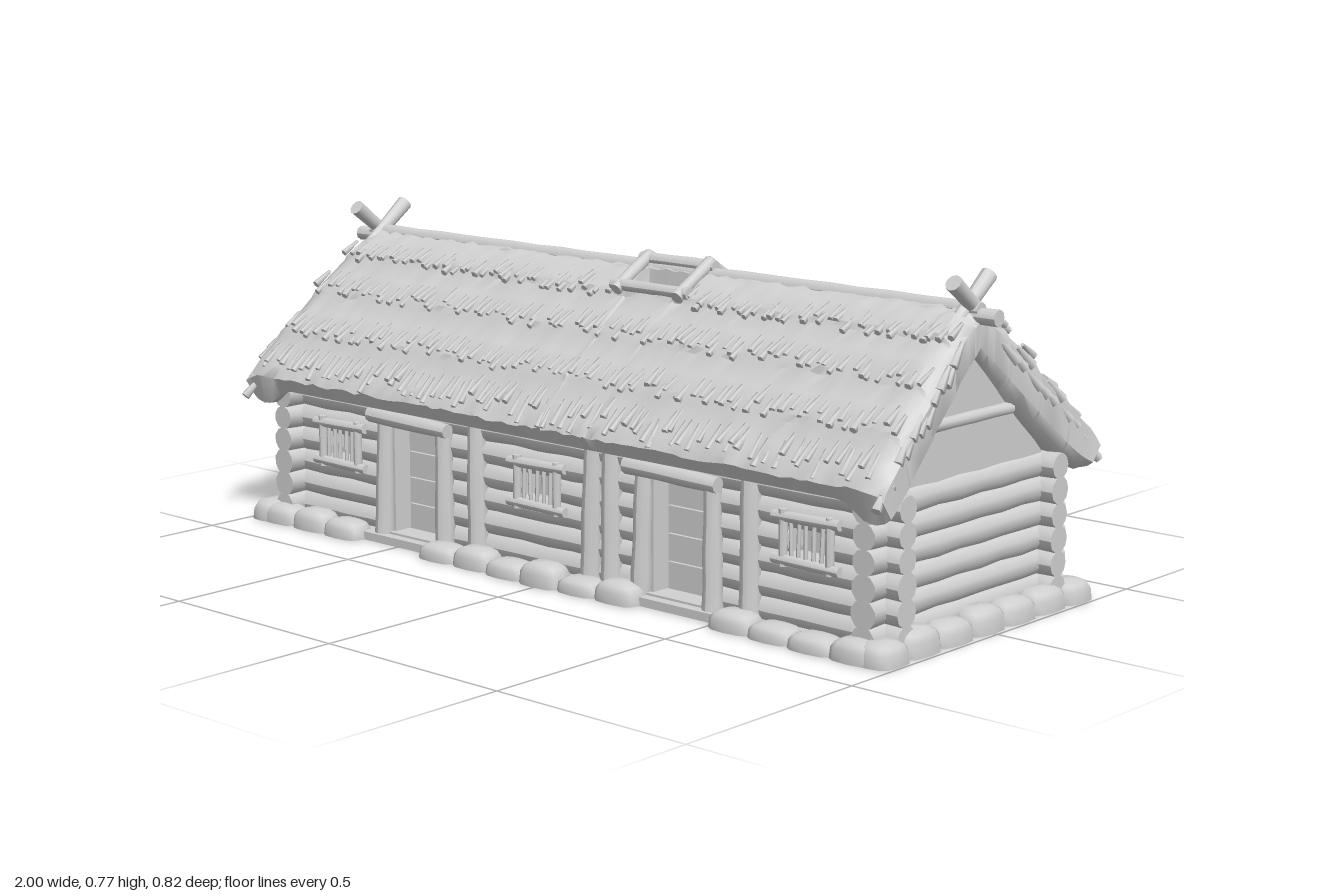
import * as THREE from 'three';
import { mergeGeometries, toCreasedNormals } from 'three/addons/utils/BufferGeometryUtils.js';

const paleGrey = new THREE.MeshStandardMaterial({ color: 0xd0d0d0 });
paleGrey.name = 'paleGrey';

let seed = 7;
const rand = () => (seed = (seed * 16807) % 2147483647) / 2147483647;
const jit = a => (rand() - 0.5) * 2 * a;
const V = (x, y, z) => new THREE.Vector3(x, y, z);
const UP = V(0, 1, 0);

// linear lookup in a list of [position, value]
function lerpTable(table, p) {
  for (let i = 1; i < table.length; i++) {
    const [a, va] = table[i - 1], [b, vb] = table[i];
    if (p <= b) return va + (vb - va) * (p - a) / (b - a);
  }
  return table[table.length - 1][1];
}

// round timber between two points, slightly uneven
function log(a, b, r0, r1 = r0, sides = 10) {
  const len = a.distanceTo(b);
  const g = new THREE.CylinderGeometry(r1, r0, len, sides, Math.max(1, Math.round(len / 0.08)));
  const p = g.attributes.position;
  for (let i = 0; i < p.count; i++) {
    const k = 1 + 0.06 * Math.sin(p.getY(i) * 45 + a.y * 90 + a.x * 17);
    p.setX(i, p.getX(i) * k);
    p.setZ(i, p.getZ(i) * k);
  }
  g.computeVertexNormals();
  g.applyQuaternion(new THREE.Quaternion().setFromUnitVectors(UP, b.clone().sub(a).normalize()));
  const m = a.clone().add(b).multiplyScalar(0.5);
  return g.translate(m.x, m.y, m.z);
}

// rounded foundation stone with a flat base
function stone(x, z, rx, rz, h) {
  const g = new THREE.SphereGeometry(1, 12, 8), p = g.attributes.position;
  const sq = v => Math.sign(v) * Math.pow(Math.abs(v), 0.65);
  for (let i = 0; i < p.count; i++) {
    p.setXYZ(i, sq(p.getX(i)) * rx, Math.max(0, sq(p.getY(i)) * h), sq(p.getZ(i)) * rz);
  }
  g.computeVertexNormals();
  return g.translate(x, 0, z);
}

const box = (w, h, d, x, y, z) => new THREE.BoxGeometry(w, h, d).translate(x, y, z);

// roof cross-section: upper face, underside in the middle, underside at the gables
const OUTER = [[0, 0.7], [0.05, 0.675], [0.1, 0.638], [0.2, 0.555], [0.3, 0.468], [0.37, 0.398], [0.388, 0.36]];
const INNER_MID = [[0, 0.585], [0.14, 0.47], [0.28, 0.362], [0.365, 0.335]];
const INNER_END = [[0, 0.58], [0.14, 0.455], [0.28, 0.335], [0.345, 0.292], [0.365, 0.295]];
const HOLE = { x0: 0.02, x1: 0.165, z0: 0.022, z1: 0.085 };

function roofGeometry() {
  const half = [0.02, 0.024, 0.05, 0.083, 0.087, 0.1, 0.104, 0.15, 0.2, 0.204, 0.25, 0.3, 0.304, 0.35, 0.375, 0.388];
  const zs = [...half.slice().reverse().map(z => -z), 0, ...half];
  const xs = [-1, -0.985, -0.96, -0.93];
  for (let i = 0; i <= 72; i++) xs.push(-0.9 + i * 0.025);
  xs.push(0.93, 0.96, 0.985, 1, HOLE.x0 - 0.002, HOLE.x0 + 0.002, HOLE.x1 - 0.002, HOLE.x1 + 0.002);
  xs.sort((a, b) => a - b);
  const M = zs.length, pos = [], idx = [];
  for (const x of xs) {
    const ax = Math.abs(x), e = THREE.MathUtils.smoothstep(ax, 0.86, 0.95);
    const pinch = ax > 0.99 ? 0.25 : ax > 0.98 ? 0.1 : 0;
    const outer = [], inner = [];
    for (const z of zs) {
      const az = Math.abs(z), s = Math.sign(z);
      let yo = lerpTable(OUTER, az) + jit(0.004);
      yo += 0.009 * ((az / 0.1 - 0.02) % 1) * (az > 0.03 ? 1 : 0);
      if (x > HOLE.x0 && x < HOLE.x1 && az > HOLE.z0 && az < HOLE.z1) yo -= 0.05;
      const zi = az * 0.94;
      const yi = lerpTable(INNER_MID, zi) * (1 - e) + lerpTable(INNER_END, zi) * e;
      const xe = x * (1 - 0.05 * e * THREE.MathUtils.clamp((yo - 0.36) / 0.34, 0, 1)) * 0.99;
      const zo = z + s * (az > 0.35 ? jit(0.005) : 0);
      outer.push([xe, yo + (yi - yo) * pinch, zo]);
      inner.push([xe, yi + (yo - yi) * pinch, s * zi]);
    }
    for (const q of [...outer, ...inner.reverse()]) pos.push(...q);
  }
  const R = 2 * M, n = xs.length;
  for (let i = 0; i < n - 1; i++) for (let j = 0; j < R; j++) {
    const a = i * R + j, b = i * R + (j + 1) % R;
    idx.push(a, b, a + R, b, b + R, a + R);
  }
  for (let j = 0; j < M - 1; j++) {
    const a = j, b = j + 1, c = R - 2 - j, d = R - 1 - j, o = (n - 1) * R;
    idx.push(a, d, b, b, d, c, o + a, o + b, o + d, o + b, o + c, o + d);
  }
  const g = new THREE.BufferGeometry();
  g.setAttribute('position', new THREE.Float32BufferAttribute(pos, 3));
  g.setIndex(idx);
  return toCreasedNormals(g, 0.7);
}

export function createModel() {
  const house = new THREE.Group();
  house.name = 'logHouse';
  const add = (name, geos) => {
    const m = new THREE.Mesh(Array.isArray(geos) ? mergeGeometries(geos) : geos, paleGrey);
    m.name = name;
    house.add(m);
  };
  const FRONT_DOORS = [-0.47, 0.365];
  const WINDOWS = { 1: [-0.735, -0.065, 0.725], [-1]: [-0.71, -0.04, 0.72] };
  const POSTS = { 1: [-0.26, 0.1, 0.165, 0.57], [-1]: [-0.57, -0.22, 0.15, 0.3, 0.57] };

  // floor slab, and the core that backs the doors and windows
  add('floor', box(1.93, 0.02, 0.69, 0, 0.01, 0));
  add('innerWalls', box(1.78, 0.35, 0.49, 0, 0.185, 0));

  // stacked logs, interrupted at doors and windows, crossing at the corners
  const wall = [];
  for (let i = 0; i < 6; i++) {
    const y = 0.04 + i * 0.055;
    for (const s of [1, -1]) {
      const gaps = [];
      if (s > 0 && i < 5) for (const d of FRONT_DOORS) gaps.push([d - 0.09, d + 0.09]);
      if (i === 3) for (const w of WINDOWS[s]) gaps.push([w - 0.055, w + 0.055]);
      gaps.sort((a, b) => a[0] - b[0]);
      let x = -0.965;
      for (const [a, b] of [...gaps, [0.965, 0]]) {
        wall.push(log(V(x, y, s * 0.275), V(a, y, s * 0.275), 0.031));
        x = b;
      }
      wall.push(log(V(s * 0.905, y, -0.345), V(s * 0.905, y, 0.345), 0.031));
    }
  }
  add('logWalls', wall);

  // gable triangles with a tie beam
  const gables = [];
  const tri = new THREE.Shape([[-0.31, 0.3], [0.31, 0.3], [0, 0.61]].map(p => new THREE.Vector2(...p)));
  for (const s of [1, -1]) {
    gables.push(new THREE.ExtrudeGeometry(tri, { depth: 0.03, bevelEnabled: false })
      .rotateY(Math.PI / 2).translate(s * 0.905 - 0.015, 0, 0).toNonIndexed());
    gables.push(log(V(s * 0.92, 0.46, -0.14), V(s * 0.92, 0.46, 0.14), 0.014).toNonIndexed());
  }
  add('gables', gables);

  // upright posts along the long walls
  const posts = [];
  for (const s of [1, -1]) for (const x of POSTS[s]) {
    posts.push(log(V(x, 0, s * 0.305), V(x + jit(0.008), 0.355, s * 0.3), 0.026, 0.022));
  }
  add('wallPosts', posts);

  // barred windows
  const win = [];
  for (const s of [1, -1]) for (const x of WINDOWS[s]) {
    const z = s * 0.308;
    win.push(log(V(x - 0.09, 0.258, z), V(x + 0.09, 0.262, z), 0.012));
    win.push(log(V(x - 0.09, 0.165, z), V(x + 0.09, 0.162, z), 0.012));
    for (const k of [-1, 1]) win.push(log(V(x + k * 0.063, 0.15, z), V(x + k * 0.063, 0.275, z), 0.01));
    for (let b = -2; b <= 2; b++) {
      win.push(log(V(x + b * 0.021 + jit(0.003), 0.165, z), V(x + b * 0.021 + jit(0.003), 0.26, z), 0.005, 0.005, 6));
    }
  }
  add('windows', win);

  // door planks, jambs, lintels and thresholds
  const doors = [];
  for (const x of FRONT_DOORS) {
    for (let i = 0; i < 4; i++) doors.push(box(0.17, 0.061, 0.012, x, 0.055 + i * 0.064, 0.25));
    for (const k of [-1, 1]) {
      doors.push(log(V(x + k * 0.105, 0, 0.312), V(x + k * 0.1, 0.3, 0.308), 0.025, 0.02));
      doors.push(box(0.016, 0.3, 0.06, x + k * 0.082, 0.15, 0.275));
    }
    doors.push(log(V(x - 0.14, 0.307, 0.32), V(x + 0.125, 0.3, 0.32), 0.021, 0.018));
    doors.push(box(0.18, 0.025, 0.06, x, 0.0125, 0.29));
  }
  add('doors', doors);

  // ring of foundation stones, left open at the doors
  const stones = [];
  for (let i = 0; i < 17; i++) {
    const x = -0.9 + i * 0.1125;
    for (const s of [1, -1]) {
      if (s > 0 && FRONT_DOORS.some(d => Math.abs(d - x) < 0.13)) continue;
      stones.push(stone(x, s * (0.345 + jit(0.006)), 0.062, 0.043, 0.046 + jit(0.01)));
    }
  }
  for (const s of [1, -1]) {
    for (let i = -2; i <= 2; i++) stones.push(stone(s * 0.95, i * 0.115, 0.045, 0.062, 0.056 + jit(0.006)));
    for (const t of [1, -1]) stones.push(stone(s * 0.95, t * 0.335, 0.048, 0.054, 0.05));
  }
  add('foundationStones', stones);

  // thatched roof with a smoke opening
  add('thatchRoof', roofGeometry());

  // straw tufts hanging in rows along both slopes and over the verges
  const tufts = [];
  const tuft = (x, z, s, len, r) => {
    const y0 = lerpTable(OUTER, z - len * 0.75), y1 = lerpTable(OUTER, z);
    tufts.push(log(V(x, y0 + 0.001, s * (z - len * 0.75)), V(x + jit(0.006), y1 + 0.009, s * z), r * 0.5, r, 5));
  };
  for (const s of [1, -1]) {
    for (const row of [0.11, 0.2, 0.3, 0.375]) for (let i = 0; i < 84; i++) {
      const x = -0.94 + i * 0.0226 + jit(0.008);
      if (row < 0.15 && x > -0.03 && x < 0.21) continue;
      tuft(x, row + jit(0.012), s, 0.06, 0.006 + rand() * 0.004);
    }
    for (const e of [1, -1]) for (let i = 0; i < 12; i++) {
      const z = 0.07 + i * 0.026, y = lerpTable(OUTER, z) - 0.02 - rand() * 0.035;
      const x = e * (0.936 + z * 0.09);
      tufts.push(log(V(x, y, s * z), V(x + e * 0.01, y - 0.045, s * (z + 0.045)), 0.006, 0.012, 5));
    }
  }
  add('strawTufts', tufts);

  // ridge pole and crossed gable poles
  add('ridgePole', [
    log(V(-0.985, 0.678, 0), V(0.985, 0.678, 0), 0.018),
    log(V(-0.94, 0.69, 0), V(0.94, 0.69, 0), 0.017)
  ]);
  const crossed = [];
  for (const e of [1, -1]) for (const s of [1, -1]) {
    crossed.push(log(V(e * (0.912 + s * 0.008), 0.635, -s * 0.08), V(e * (0.912 + s * 0.008), 0.755, s * 0.075), 0.016, 0.018));
  }
  add('crossedPoles', crossed);

  // frame around the smoke opening
  const frame = [log(V(-0.02, 0.708, 0), V(0.205, 0.708, 0), 0.015)];
  for (const s of [1, -1]) {
    frame.push(log(V(-0.025, 0.658, s * 0.095), V(0.21, 0.658, s * 0.095), 0.014));
    for (const x of [0, 0.185]) frame.push(log(V(x, 0.718, -s * 0.005), V(x, 0.648, s * 0.112), 0.015));
  }
  add('smokeHoleFrame', frame);
  return house;
}
